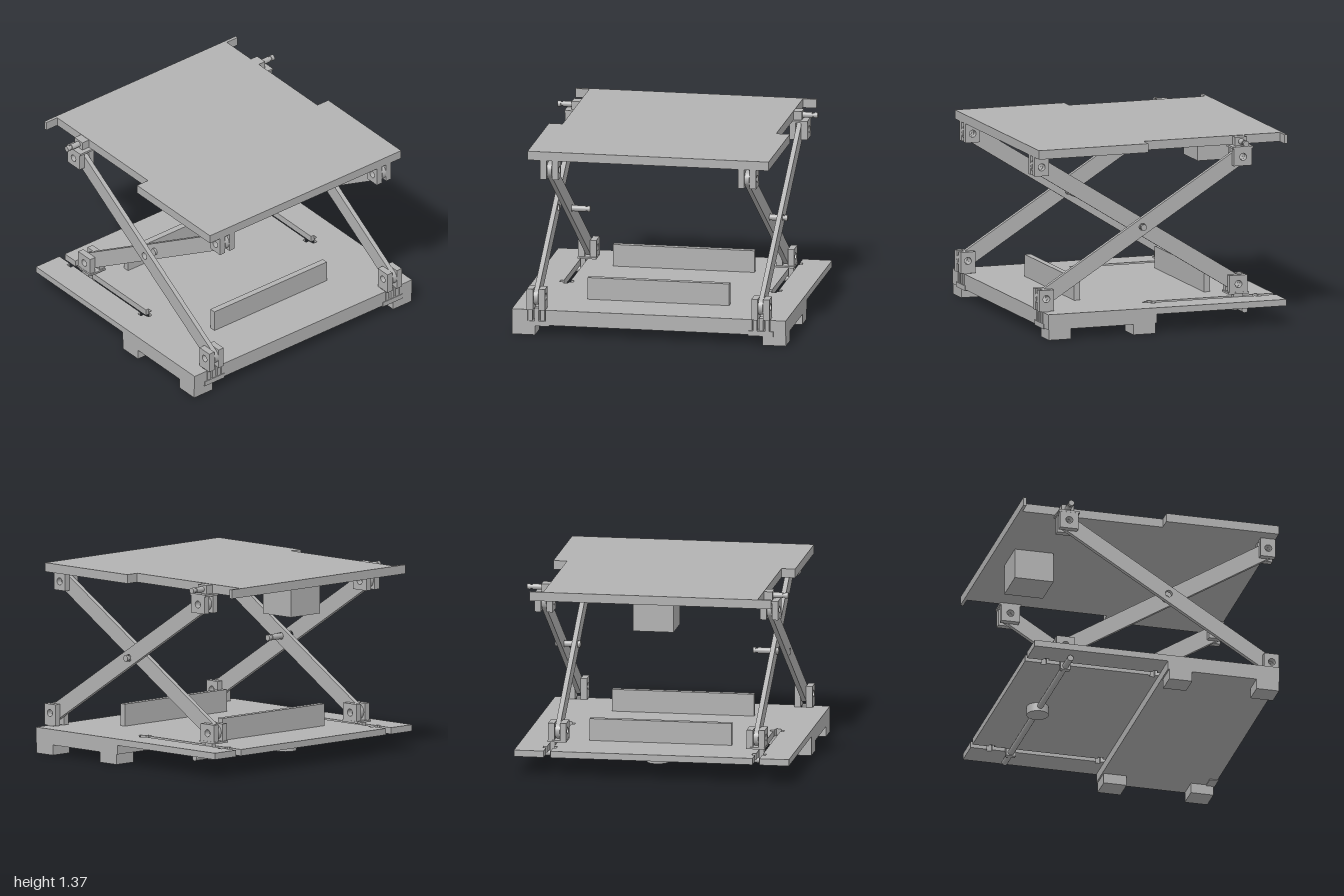
import * as THREE from 'three';

const grey = new THREE.MeshStandardMaterial({ color: 0xb2b2b2 });
grey.name = 'plain grey';

function add(parent, name, geometry) {
  const mesh = new THREE.Mesh(geometry, grey);
  mesh.name = name;
  parent.add(mesh);
  return mesh;
}

// Box given by its low and high limits on each axis
function box(parent, name, x0, x1, y0, y1, z0, z1) {
  const g = new THREE.BoxGeometry(x1 - x0, y1 - y0, z1 - z0);
  g.translate((x0 + x1) / 2, (y0 + y1) / 2, (z0 + z1) / 2);
  return add(parent, name, g);
}

// Flat plate from the +z half of its outline, mirrored in z
function plate(parent, name, half, y0, y1) {
  const other = half.map(([x, z]) => [x, -z]).reverse();
  const shape = new THREE.Shape([...half, ...other].map(([x, z]) => new THREE.Vector2(x, z)));
  const g = new THREE.ExtrudeGeometry(shape, { depth: y1 - y0, bevelEnabled: false });
  g.rotateX(Math.PI / 2).translate(0, y1, 0);
  return add(parent, name, g);
}

// Round pin along z
function pin(parent, name, x, y, z0, z1, r) {
  const g = new THREE.CylinderGeometry(r, r, z1 - z0, 24);
  g.rotateX(Math.PI / 2).translate(x, y, (z0 + z1) / 2);
  return add(parent, name, g);
}

function hole(x, y, r) {
  const p = new THREE.Path();
  p.absarc(x, y, r, 0, Math.PI * 2, true);
  return p;
}

const LEFT = -0.612, RIGHT = 0.892, LOW = 0.28, HIGH = 1.225, MID = (LOW + HIGH) / 2;

// Scissor arm with rounded ends and three pivot holes
function arm(parent, name, yLeft, yRight, z0, z1) {
  const dx = RIGHT - LEFT, dy = yRight - yLeft, half = Math.hypot(dx, dy) / 2, r = 0.058;
  const s = new THREE.Shape();
  s.absarc(half, 0, r, -Math.PI / 2, Math.PI / 2, false);
  s.absarc(-half, 0, r, Math.PI / 2, Math.PI * 1.5, false);
  s.closePath();
  s.holes.push(hole(-half, 0, 0.026), hole(0, 0, 0.026), hole(half, 0, 0.026));
  const g = new THREE.ExtrudeGeometry(s, { depth: z1 - z0, bevelEnabled: false, curveSegments: 12 });
  g.rotateZ(Math.atan2(dy, dx)).translate((LEFT + RIGHT) / 2, MID, z0);
  add(parent, name, g);
}

// Clevis: two drilled cheeks either side of the arm
function clevis(parent, name, x, y, x0, x1, y0, y1, zMid) {
  const group = new THREE.Group();
  group.name = name;
  for (const [z0, z1] of [[zMid - 0.066, zMid - 0.02], [zMid + 0.02, zMid + 0.066]]) {
    const s = new THREE.Shape([[x0, y0], [x1, y0], [x1, y1], [x0, y1]].map(p => new THREE.Vector2(...p)));
    s.holes.push(hole(x, y, 0.026));
    const g = new THREE.ExtrudeGeometry(s, { depth: z1 - z0, bevelEnabled: false });
    g.translate(0, 0, z0);
    add(group, 'clevisCheek', g);
  }
  parent.add(group);
  return group;
}

// Everything that repeats on the front and back; s = 1 front, -1 back
function side(parent, s) {
  const g = new THREE.Group();
  g.name = s > 0 ? 'frontSide' : 'backSide';
  const outer = 0.82 * s, inner = 0.722 * s;
  const range = (a, b) => (s > 0 ? [a, b] : [-b, -a]);

  arm(g, 'outerArm', HIGH, LOW, outer - 0.017, outer + 0.017);
  arm(g, 'innerArm', LOW, HIGH, inner - 0.017, inner + 0.017);

  // Fixed lower clevis with its posts and tie bar
  clevis(g, 'fixedLowerClevis', RIGHT, LOW, 0.835, 0.946, 0.19, 0.345, outer);
  for (const z of [0.775, 0.82, 0.865])
    box(g, 'clevisPost', 0.87, 0.92, 0.1, 0.2, ...range(z - 0.015, z + 0.015));
  box(g, 'clevisTieBar', 0.86, 0.925, 0.068, 0.105, ...range(0.727, 0.91));

  // Fixed upper clevis
  clevis(g, 'fixedUpperClevis', RIGHT, HIGH, 0.835, 0.946, 1.16, 1.3, inner);

  // Sliding lower clevis riding in the base slot
  const slider = clevis(g, 'slidingLowerClevis', LEFT, LOW, -0.68, -0.543, 0.21, 0.345, inner);
  box(slider, 'sliderFlange', -0.69, -0.533, 0.208, 0.222, ...range(0.655, 0.79));
  box(slider, 'sliderStem', -0.648, -0.576, 0.09, 0.21, ...range(0.742, 0.778));

  // Sliding upper clevis with its block and locking pin
  const top = clevis(g, 'slidingUpperClevis', LEFT, HIGH, -0.68, -0.543, 1.16, 1.295, outer);
  box(top, 'upperFlange', -0.69, -0.533, 1.285, 1.3, ...range(0.755, 0.887));
  box(top, 'pinBlock', -0.657, -0.567, 1.3, 1.362, ...range(0.775, 0.84));
  pin(top, 'lockingPin', LEFT, 1.33, ...range(0.8, 0.91), 0.021);
  pin(top, 'lockingPinNeck', LEFT, 1.33, ...range(0.91, 0.925), 0.015);
  pin(top, 'lockingPinTip', LEFT, 1.33, ...range(0.925, 0.95), 0.021);

  // Feet
  for (const [x0, x1] of [[0.1, 0.27], [0.748, 0.915]])
    box(g, 'foot', x0, x1, 0, 0.076, ...range(0.83, 1));
  parent.add(g);
}

export function createModel() {
  const model = new THREE.Group();
  model.name = 'scissorLift';

  // Base: slotted sheet with a thicker section on the fixed side
  const edge = [[0.92, 0], [0.92, 0.755], [0.86, 0.755], [0.86, 0.885], [0.92, 0.885], [0.92, 1]];
  plate(model, 'basePlate', [
    ...edge, [-0.9, 1], [-0.9, 0.785],
    [-0.78, 0.785], [-0.78, 0.81], [-0.74, 0.81], [-0.74, 0.785],
    [0.03, 0.785], [0.03, 0.81], [0.065, 0.81], [0.065, 0.785], [0.11, 0.775],
    [0.11, 0.745], [0.065, 0.735], [0.065, 0.71], [0.03, 0.71], [0.03, 0.735],
    [-0.74, 0.735], [-0.74, 0.71], [-0.78, 0.71], [-0.78, 0.735], [-0.9, 0.735], [-0.9, 0],
  ].slice(1, -1), 0.14, 0.187);
  plate(model, 'baseThickening', [...edge.slice(1), [0.09, 1]], 0.075, 0.14);

  // Upright rails on the base
  for (const x of [-0.47, 0.522])
    box(model, 'uprightRail', x - 0.023, x + 0.023, 0.187, 0.347, -0.517, 0.517);

  // Deck with its end lip and the block beneath
  plate(model, 'deck', [[0.946, 0.88], [0.11, 0.88], [0.11, 0.78], [-0.93, 0.78]], 1.3, 1.365);
  box(model, 'deckLip', -0.952, -0.93, 1.3, 1.365, -0.88, 0.88);
  box(model, 'deckBlock', -0.82, -0.533, 1.075, 1.3, -0.148, 0.148);

  // Cross rod under the base with a central disc
  pin(model, 'crossRod', LEFT, 0.115, -0.92, 0.92, 0.022);
  add(model, 'rodDisc', new THREE.CylinderGeometry(0.08, 0.08, 0.063, 32)).position.set(LEFT, 0.107, 0);

  side(model, 1);
  side(model, -1);

  // Pivot pins, both pointing to the back
  for (const z of [0.755, -0.685]) {
    pin(model, 'pivotPinHead', 0.14, MID, z - 0.015, z, 0.026);
    pin(model, 'pivotPin', 0.14, MID, z - 0.15, z - 0.015, 0.022);
    pin(model, 'pivotPinNeck', 0.14, MID, z - 0.165, z - 0.15, 0.016);
    pin(model, 'pivotPinTip', 0.14, MID, z - 0.185, z - 0.165, 0.022);
  }
  return model;
}
